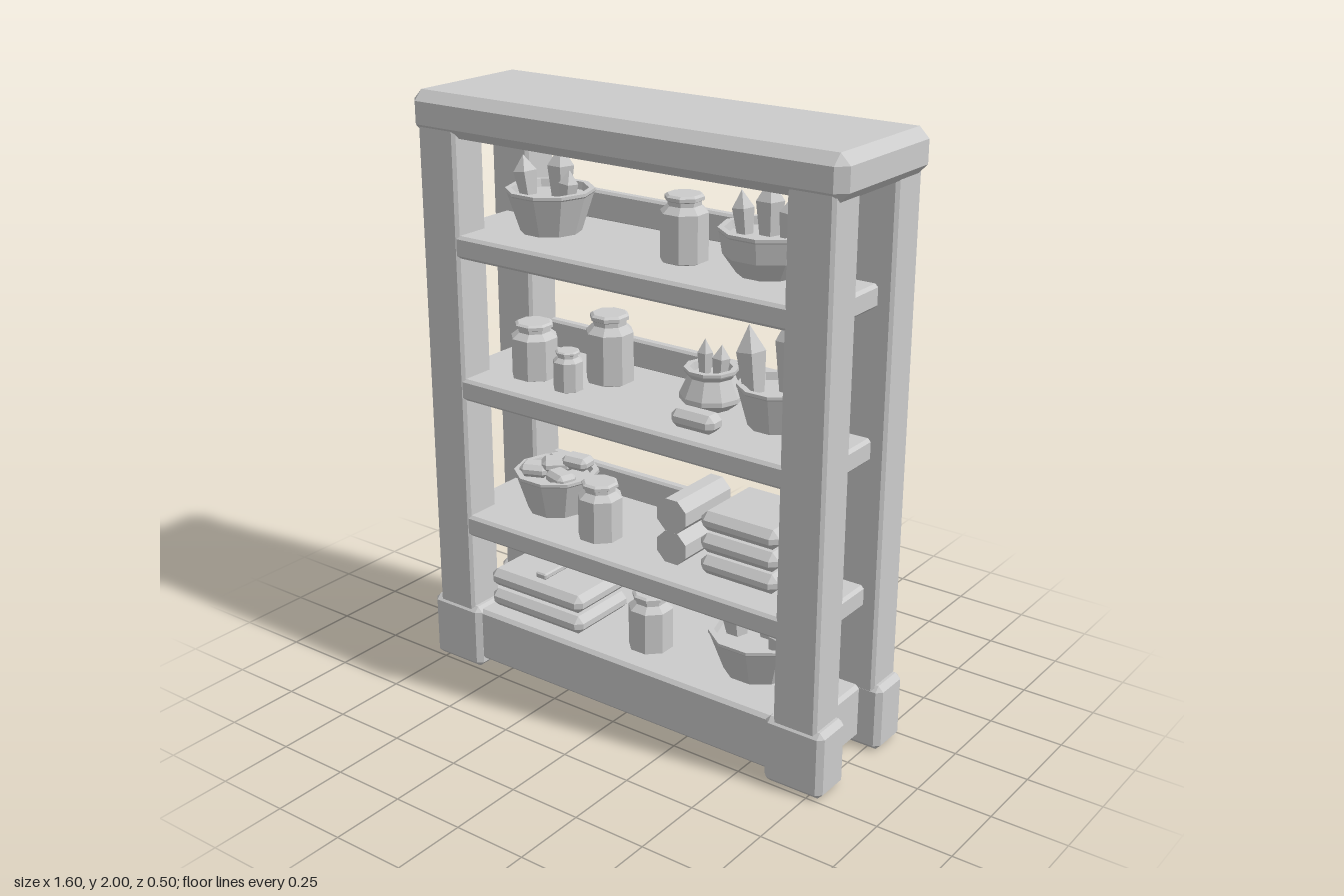
import * as THREE from 'three';
import { ConvexGeometry } from 'three/addons/geometries/ConvexGeometry.js';

const material = new THREE.MeshStandardMaterial({ color: 0xcccccc, flatShading: true });

function add(parent, name, geometry, x = 0, y = 0, z = 0) {
  const mesh = new THREE.Mesh(geometry, material);
  mesh.name = name;
  mesh.position.set(x, y, z);
  parent.add(mesh);
  return mesh;
}

// Box with every edge chamfered by b
function chamferBox(w, h, d, b) {
  const points = [];
  for (const sx of [-1, 1]) for (const sy of [-1, 1]) for (const sz of [-1, 1])
    for (let axis = 0; axis < 3; axis++) {
      const inset = [0, 1, 2].map((i) => (i === axis ? 0 : b));
      points.push(new THREE.Vector3(
        sx * (w / 2 - inset[0]), sy * (h / 2 - inset[1]), sz * (d / 2 - inset[2])));
    }
  return new ConvexGeometry(points);
}

// Chamfered box given by its minimum and maximum corners
function span(parent, name, [x0, y0, z0], [x1, y1, z1], b) {
  return add(parent, name, chamferBox(x1 - x0, y1 - y0, z1 - z0, b),
    (x0 + x1) / 2, (y0 + y1) / 2, (z0 + z1) / 2);
}

// Faceted turned shape from a bottom-to-top profile, with a face to the front
function turned(profile, sides) {
  const geometry = new THREE.LatheGeometry(profile.map(([r, y]) => new THREE.Vector2(r, y)), sides);
  return geometry.rotateY(Math.PI / sides);
}

// Eight-sided lidded jar, standing at y
function jar(parent, x, y, z, r, h) {
  const R = r / Math.cos(Math.PI / 8);
  add(parent, 'jar', turned([
    [0, 0], [R * 0.8, 0], [R, 0.03 * h], [R, 0.74 * h], [R * 0.7, 0.84 * h], [R * 0.7, 0.9 * h],
    [R * 0.82, 0.92 * h], [R * 0.82, 0.97 * h], [R * 0.7, h], [0, h],
  ], 8), x, y, z);
}

// Pointed crystals: each is [dx, dz, radius, height, lean]
function crystals(parent, x, y, z, list) {
  for (const [dx, dz, r, h, lean] of list) {
    const crystal = add(parent, 'crystal',
      turned([[0, 0], [r * 0.65, 0], [r, h * 0.66], [0, h]], 5), x + dx, y, z + dz);
    crystal.rotation.z = -lean;
  }
}

// Open bowl with a filled top; the profile may carry extra points for a waist or bulge
function bowl(parent, name, x, y, z, r, base, h, middle = []) {
  add(parent, name, turned([
    [0, 0], [base, 0], ...middle, [r * 0.97, h - 0.015], [r, h - 0.01], [r, h],
    [r - 0.02, h], [r - 0.025, h - 0.025], [0, h - 0.025],
  ], 10), x, y, z);
}

export function createModel() {
  const model = new THREE.Group();
  model.name = 'displayShelf';

  // Frame: cap, plinth, four posts on square feet
  const frame = new THREE.Group();
  frame.name = 'frame';
  model.add(frame);
  span(frame, 'topCap', [-0.8, 1.86, -0.25], [0.8, 2, 0.25], 0.033);
  span(frame, 'plinth', [-0.72, 0.03, -0.23], [0.72, 0.22, 0.23], 0.012);
  for (const sx of [-1, 1]) for (const sz of [-1, 1]) {
    add(frame, 'post', chamferBox(0.155, 1.75, 0.138, 0.01), sx * 0.693, 1.045, sz * 0.173);
    add(frame, 'foot', chamferBox(0.212, 0.23, 0.145, 0.018), sx * 0.692, 0.115, sz * 0.176);
  }

  // Shelves with a low rail along the back
  const levels = [0.22, 0.573, 1.065, 1.55];
  for (const y of levels.slice(1)) {
    span(frame, 'shelf', [-0.72, y - 0.075, -0.235], [0.72, y, 0.24], 0.01);
    span(frame, 'backRail', [-0.69, y - 0.005, -0.238], [0.69, y + 0.095, -0.2], 0.008);
  }
  const [y0, y1, y2, y3] = levels;

  const goods = new THREE.Group();
  goods.name = 'goods';
  model.add(goods);

  // Jars: x, shelf, z, radius, height
  for (const args of [
    [0.125, y3, 0.035, 0.07, 0.21],
    [-0.453, y2, 0.07, 0.073, 0.19], [-0.283, y2, 0.105, 0.046, 0.135], [-0.225, y2, -0.04, 0.074, 0.235],
    [-0.162, y1, 0.1, 0.07, 0.2],
    [0.03, y0, 0.08, 0.07, 0.2],
  ]) jar(goods, ...args);

  // Planters with crystals
  bowl(goods, 'planter', -0.43, y3, 0, 0.145, 0.1, 0.14);
  crystals(goods, -0.43, y3 + 0.09, 0, [
    [-0.07, 0.02, 0.04, 0.15, -0.16], [0.03, -0.02, 0.045, 0.19, 0], [0.085, 0.02, 0.033, 0.125, 0.1]]);

  bowl(goods, 'bulgedPlanter', 0.4, y3, -0.01, 0.153, 0.095, 0.14, [[0.138, 0.06]]);
  crystals(goods, 0.4, y3 + 0.09, -0.01, [
    [-0.07, 0.02, 0.035, 0.155, -0.1], [-0.005, -0.01, 0.045, 0.195, 0], [0.055, -0.02, 0.04, 0.155, 0.1]]);

  bowl(goods, 'waistedPot', 0.175, y2, -0.045, 0.088, 0.065, 0.133,
    [[0.102, 0.03], [0.102, 0.045], [0.075, 0.105]]);
  crystals(goods, 0.175, y2 + 0.09, -0.045, [
    [-0.025, 0, 0.026, 0.13, 0], [0.035, 0.005, 0.03, 0.125, 0.06]]);

  bowl(goods, 'planter', 0.43, y2, -0.035, 0.129, 0.092, 0.135);
  crystals(goods, 0.43, y2 + 0.08, -0.035, [
    [-0.06, 0.04, 0.048, 0.24, -0.1], [0.03, -0.03, 0.058, 0.295, 0], [0.075, 0.03, 0.04, 0.195, 0.12]]);

  bowl(goods, 'planter', 0.4, y0, -0.01, 0.167, 0.115, 0.14);
  crystals(goods, 0.4, y0 + 0.08, -0.01, [
    [-0.07, 0.02, 0.045, 0.145, -0.12], [0.03, -0.03, 0.055, 0.18, 0], [0.085, 0.03, 0.04, 0.12, 0.15]]);

  // Bowl heaped with flat stones
  bowl(goods, 'stoneBowl', -0.43, y1, 0, 0.145, 0.1, 0.14);
  for (const [dx, dy, dz, turn] of [
    [-0.06, 0.14, 0.04, 0.4], [0.06, 0.14, 0.05, -0.3], [-0.03, 0.14, -0.06, -0.5],
    [0.07, 0.175, -0.03, 0.1], [0, 0.16, 0, 0.7]]) {
    const stone = add(goods, 'stone', chamferBox(0.1, 0.045, 0.075, 0.015), -0.43 + dx, y1 + dy, dz);
    stone.rotation.y = turn;
  }
  add(goods, 'looseStone', chamferBox(0.16, 0.06, 0.08, 0.02), 0.25, y2 + 0.03, 0.14);

  // Two rolls lying front to back
  for (const dy of [0.054, 0.165]) {
    const roll = new THREE.CylinderGeometry(0.06, 0.06, 0.25, 8).rotateY(Math.PI / 8).rotateX(Math.PI / 2);
    add(goods, 'roll', roll, 0.145, y1 + dy, 0);
  }

  // Folded stacks
  for (let i = 0; i < 3; i++)
    add(goods, 'foldedCloth', chamferBox(0.29, 0.066, 0.28, 0.024), 0.4, y1 + 0.034 + i * 0.075, 0);
  for (let i = 0; i < 2; i++)
    add(goods, 'flatBundle', chamferBox(0.4, 0.064, 0.28, 0.022), -0.39, y0 + 0.034 + i * 0.077, 0.045);
  add(goods, 'bundleTie', chamferBox(0.045, 0.022, 0.2, 0.005), -0.39, y0 + 0.157, 0.045);

  return model;
}
